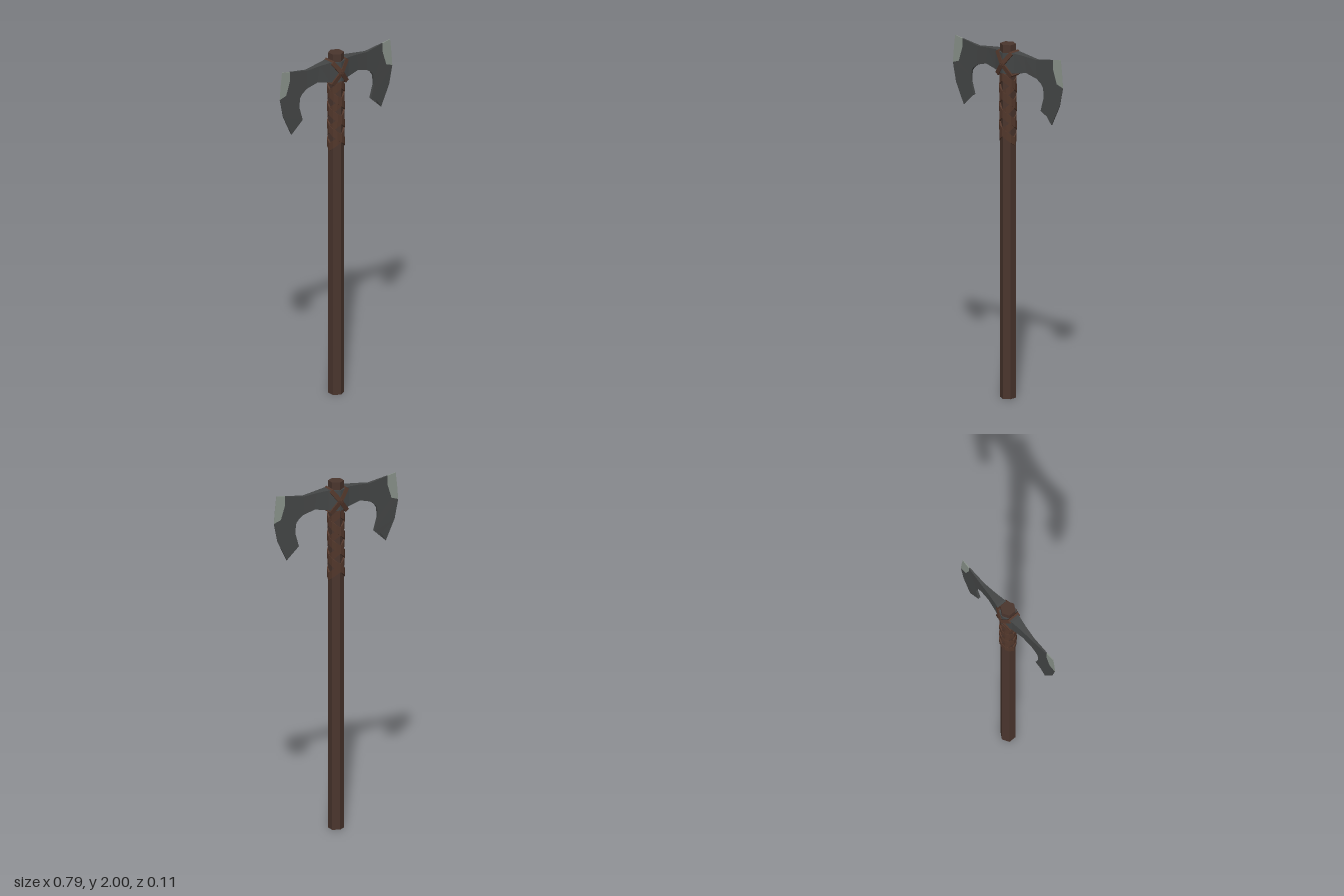
import * as THREE from 'three';

const wood = new THREE.MeshStandardMaterial({ color: 0x4a352d });
wood.name = 'darkWood';
const leather = new THREE.MeshStandardMaterial({ color: 0x52372b });
leather.name = 'leather';
const steel = new THREE.MeshStandardMaterial({ color: 0x444646 });
steel.name = 'darkSteel';
const honed = new THREE.MeshStandardMaterial({ color: 0x8a938b });
honed.name = 'honedSteel';

// Faceted solid through a row of four-cornered cross-sections, capped at both ends
function loft(rings) {
  const pos = [];
  const quad = (a, b, c, d) => pos.push(...a, ...b, ...c, ...a, ...c, ...d);
  for (let i = 0; i < rings.length - 1; i++) {
    const a = rings[i], b = rings[i + 1];
    for (let j = 0; j < 4; j++) {
      const k = (j + 1) % 4;
      quad(a[j], a[k], b[k], b[j]);
    }
  }
  const s = rings[0], e = rings[rings.length - 1];
  quad(s[0], s[3], s[2], s[1]);
  quad(e[0], e[1], e[2], e[3]);
  const g = new THREE.BufferGeometry();
  g.setAttribute('position', new THREE.Float32BufferAttribute(pos, 3));
  g.computeVertexNormals();
  return g;
}

function flat(geometry) {
  const g = geometry.index ? geometry.toNonIndexed() : geometry;
  g.computeVertexNormals();
  return g;
}

function add(parent, name, geometry, material) {
  const m = new THREE.Mesh(geometry, material);
  m.name = name;
  parent.add(m);
  return m;
}

// Half thickness of the axe head, thinning from the socket to the cutting edge
const taper = [[0, 0.046], [0.065, 0.027], [0.13, 0.017], [0.2, 0.01], [0.3, 0.004], [0.4, 0.0008]];
function halfThickness(x) {
  let i = 0;
  while (i < taper.length - 2 && x > taper[i + 1][0]) i++;
  const [x0, t0] = taper[i], [x1, t1] = taper[i + 1];
  return THREE.MathUtils.mapLinear(x, x0, x1, t0, t1);
}

// Each row: outer x, y, then inner x, y
function bladePiece(rows) {
  return loft(rows.map(([ox, oy, ix, iy]) => {
    const o = halfThickness(ox), n = halfThickness(ix);
    return [[ox, oy, o], [ix, iy, n], [ix, iy, -n], [ox, oy, -o]];
  }));
}

const bladeRows = [
  [0, 1.955, 0, 1.835],
  [0.065, 1.96, 0.065, 1.847],
  [0.13, 1.955, 0.143, 1.862],
  [0.207, 1.947, 0.212, 1.841],
  [0.324, 1.967, 0.24, 1.82],
  [0.324, 1.915, 0.255, 1.8],
  [0.35, 1.835, 0.259, 1.77],
  [0.393, 1.82, 0.26, 1.74],
  [0.37, 1.713, 0.239, 1.666],
  [0.313, 1.597, 0.281, 1.64],
];
const edgeRows = [
  [0.377, 1.976, 0.324, 1.967],
  [0.386, 1.9, 0.324, 1.915],
  [0.393, 1.82, 0.35, 1.835],
];

// Flat strap loop around the head, a hexagonal ring extruded to the strap width
function strapGeometry() {
  const width = 0.024;
  const hexagon = (path, u, zEnd, zMid) => {
    [[u, -zEnd], [u, zEnd], [0, zMid], [-u, zEnd], [-u, -zEnd], [0, -zMid]]
      .forEach(([a, b], i) => (i ? path.lineTo(a, b) : path.moveTo(a, b)));
    path.closePath();
    return path;
  };
  const shape = hexagon(new THREE.Shape(), 0.083, 0.036, 0.055);
  shape.holes.push(hexagon(new THREE.Path(), 0.075, 0.029, 0.045));
  const g = new THREE.ExtrudeGeometry(shape, { depth: width, bevelEnabled: false });
  g.translate(0, 0, -width / 2);
  g.rotateX(Math.PI / 2);
  return flat(g);
}

// One leather strand winding up the shaft; hand is +1 or -1
function strandGeometry(hand, start) {
  const y0 = 1.455, y1 = 1.82, pitch = 0.21, half = 0.023, steps = 21;
  const outer = hand > 0 ? 0.047 : 0.049, inner = 0.036;
  const rings = [];
  for (let i = 0; i <= steps; i++) {
    const y = THREE.MathUtils.lerp(y0, y1, i / steps);
    const a = start + hand * (y - y0) / pitch * Math.PI * 2;
    const s = Math.sin(a), c = Math.cos(a);
    rings.push([[outer, half], [outer, -half], [inner, -half], [inner, half]]
      .map(([r, h]) => [r * s, y + h, r * c]));
  }
  if (hand < 0) rings.reverse();
  return loft(rings);
}

export function createModel() {
  const axe = new THREE.Group();
  axe.name = 'doubleAxe';

  // Six-sided shaft
  const shaft = add(axe, 'shaft', flat(new THREE.CylinderGeometry(0.043, 0.043, 2, 6)), wood);
  shaft.position.y = 1;

  // Two matching blades, the second turned half round
  [['leftBlade', 0], ['rightBlade', Math.PI]].forEach(([name, turn]) => {
    const blade = new THREE.Group();
    blade.name = name;
    blade.rotation.y = turn;
    add(blade, 'bladeBody', bladePiece(bladeRows), steel);
    add(blade, 'cuttingEdge', bladePiece(edgeRows), honed);
    axe.add(blade);
  });

  // Crossed straps binding the head
  for (const side of [1, -1]) {
    const strap = add(axe, 'headStrap', strapGeometry(), leather);
    strap.position.y = 1.893;
    strap.rotation.z = side * 0.915;
  }

  // Criss-cross grip wrapping
  const wrap = new THREE.Group();
  wrap.name = 'gripWrap';
  for (const hand of [1, -1]) {
    for (const start of [Math.PI / 2, -Math.PI / 2]) {
      add(wrap, 'wrapStrand', strandGeometry(hand, start), leather);
    }
  }
  axe.add(wrap);
  return axe;
}
